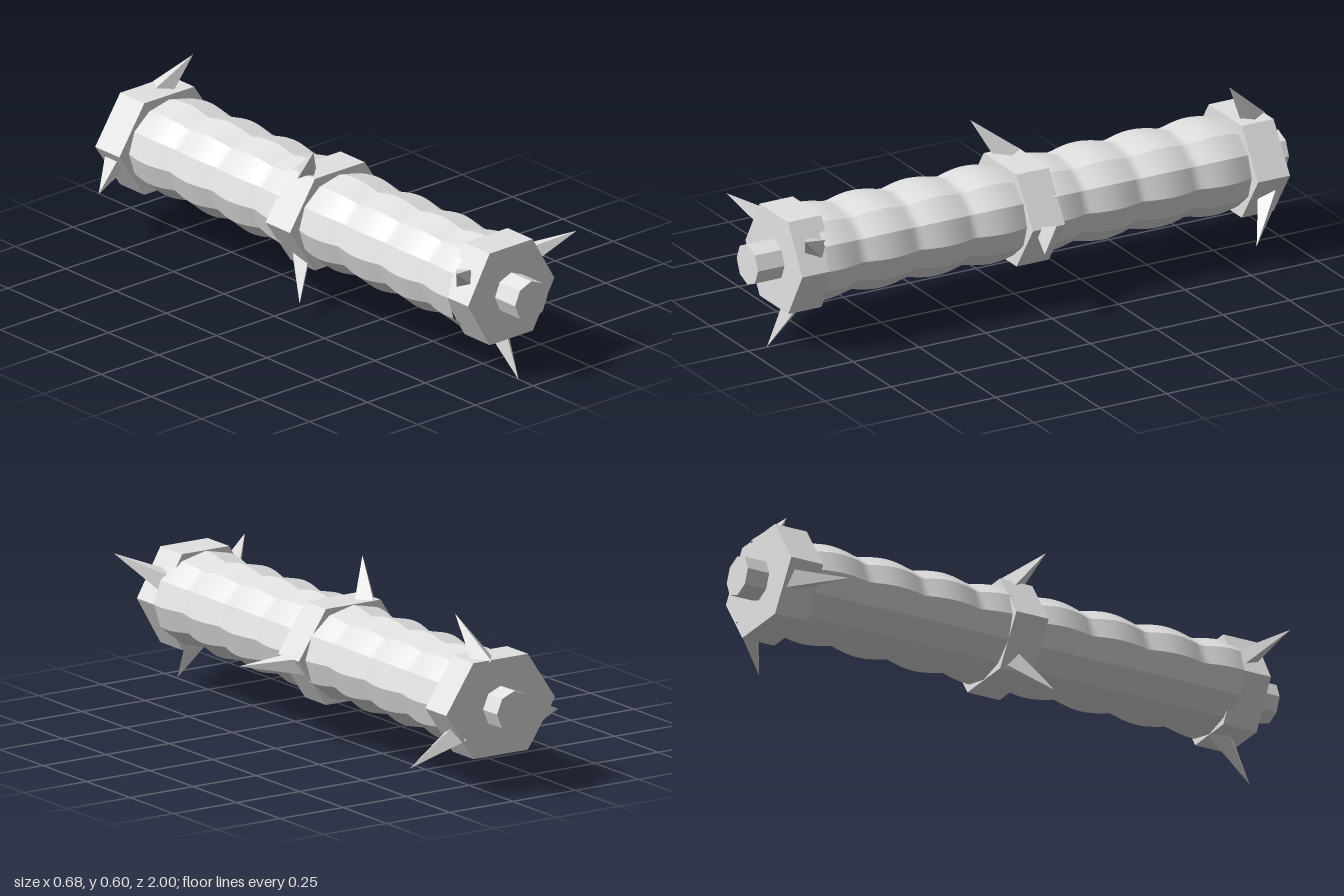
import * as THREE from 'three';

const CX = -0.008, CY = 0.304;

export function createModel() {
  const group = new THREE.Group();
  const metal = new THREE.MeshStandardMaterial({ color: 0xe2e2e2 });
  metal.name = 'paleMetal';

  const add = (name, geometry) => {
    const mesh = new THREE.Mesh(geometry, metal);
    mesh.name = name;
    group.add(mesh);
    return mesh;
  };

  // Prism lying along z with a corner on the x axis
  const prism = (name, sides, radius, z0, z1, widen = 1) => {
    const g = new THREE.CylinderGeometry(radius, radius, z1 - z0, sides, 1, false, Math.PI / 2)
      .rotateX(Math.PI / 2).scale(widen, 1, 1).toNonIndexed();
    g.computeVertexNormals();
    add(name, g).position.set(CX, CY, (z0 + z1) / 2);
  };

  // Ribbed shaft: flat sides around, smooth bulges along the length
  const shaft = (name, z0, z1) => {
    const sides = 12, steps = 48, pos = [], index = [];
    for (let s = 0; s < sides; s++) {
      for (let i = 0; i <= steps; i++) {
        const z = z0 + (z1 - z0) * i / steps;
        const bulge = Math.abs(Math.sin(Math.PI * (z - 0.03) / 0.21));
        const r = 0.9 + 0.1 * bulge;
        for (const k of [s, s + 1]) {
          const a = k / sides * Math.PI * 2;
          pos.push(CX + 0.19 * r * Math.cos(a), CY + 0.16 * r * Math.sin(a), z);
        }
        if (i < steps) {
          const b = (s * (steps + 1) + i) * 2;
          index.push(b, b + 1, b + 3, b, b + 3, b + 2);
        }
      }
    }
    const g = new THREE.BufferGeometry();
    g.setAttribute('position', new THREE.Float32BufferAttribute(pos, 3));
    g.setIndex(index);
    g.computeVertexNormals();
    add(name, g);
  };

  // Four-sided spike whose base sinks into the collar
  const spike = (base, tip) => {
    const end = new THREE.Vector3(...tip);
    const dir = end.clone().sub(new THREE.Vector3(...base)).multiplyScalar(1.25);
    const length = dir.length();
    const g = new THREE.ConeGeometry(0.046, length, 4).toNonIndexed();
    g.computeVertexNormals();
    const mesh = add('spike', g);
    mesh.position.copy(end).addScaledVector(dir, -0.5);
    mesh.quaternion.setFromUnitVectors(new THREE.Vector3(0, 1, 0), dir.normalize());
  };

  prism('axle', 8, 0.07, -1, 1);
  shaft('frontShaft', 0.03, 0.8);
  shaft('backShaft', -0.82, -0.05);
  prism('frontCollar', 6, 0.187, 0.775, 0.9);
  prism('middleCollar', 6, 0.187, -0.073, 0.048, 1.155);
  prism('backCollar', 6, 0.187, -0.92, -0.8, 1.155);

  // Three spikes per collar: base x, y then tip x, y
  const rings = [
    [0.93, [[-0.155, 0.375, -0.27, 0.45], [0.14, 0.385, 0.25, 0.46], [-0.002, 0.135, -0.002, 0.002]]],
    [0.08, [[-0.095, 0.465, -0.15, 0.578], [0.19, 0.285, 0.34, 0.275], [-0.12, 0.17, -0.21, 0.06]]],
    [-0.77, [[0.038, 0.47, 0.07, 0.598], [0.15, 0.21, 0.25, 0.1], [-0.19, 0.25, -0.34, 0.215]]],
  ];
  for (const [z, list] of rings) {
    for (const [bx, by, tx, ty] of list) spike([bx, by, z - 0.095], [tx, ty, z]);
  }

  return group;
}
